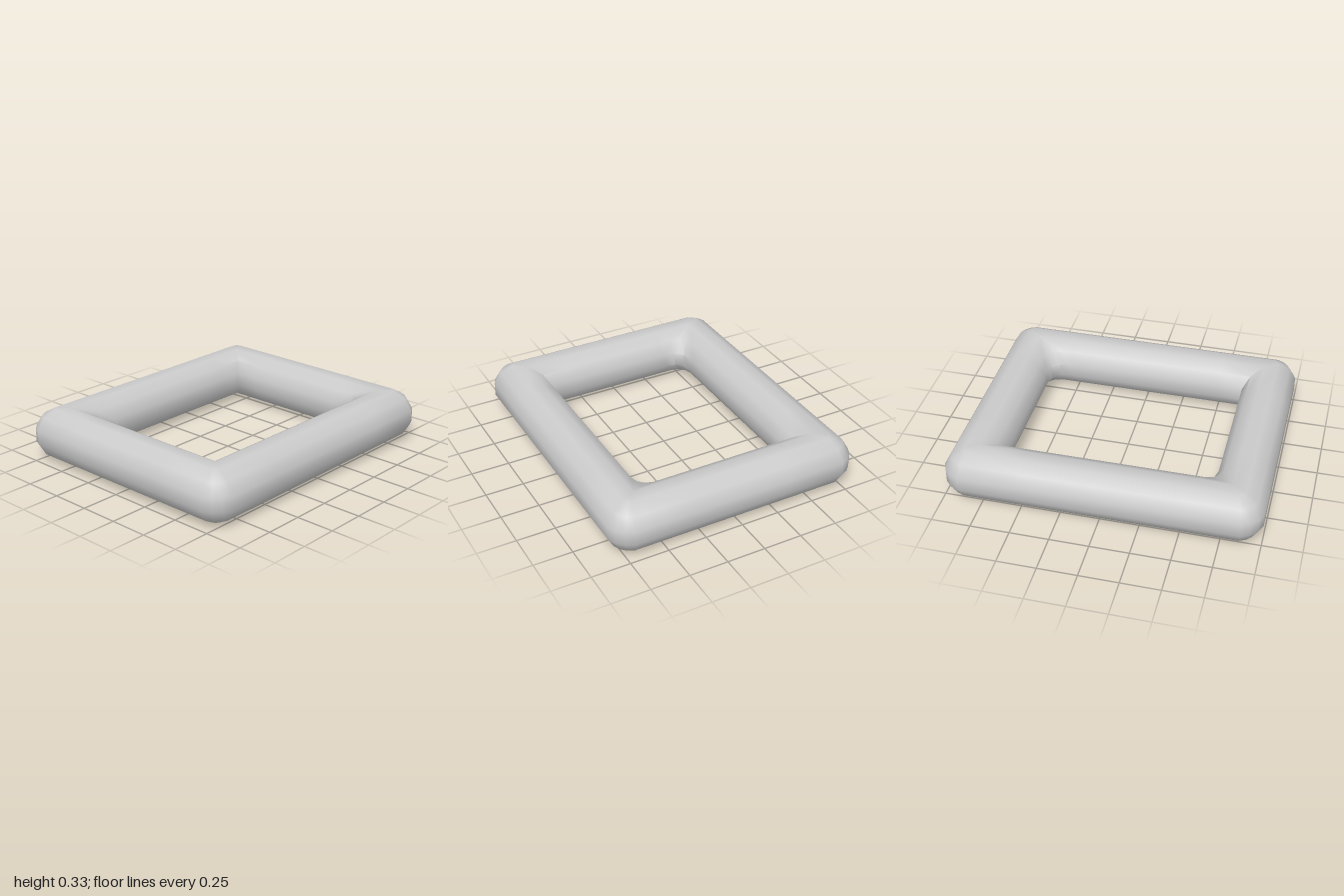
import * as THREE from 'three';
import { toCreasedNormals } from 'three/addons/utils/BufferGeometryUtils.js';

const SIDES = 12;            // sides of the bar's round section
const INNER = 1 / 6;         // section radius measured to the flats
const RADIUS = INNER / Math.cos(Math.PI / SIDES);
const HALF_X = 0.833, HALF_Z = 0.667; // centre line of the bars
const rad = THREE.MathUtils.degToRad;

// One closed plan outline of the frame, at a given offset from the centre line
function planLoop(offset, y, height) {
  const loop = [];
  const corners = [[1, 1], [-1, 1], [-1, -1], [1, -1]];
  for (const [sx, sz] of corners) {
    const hx = HALF_X + offset, hz = HALF_Z + offset;
    const filleted = sx === sz;
    // Outer corners are spherical; two inner corners are filleted, two are mitred
    let r, angles;
    if (offset > 0) {
      r = offset;
      angles = [15, 35, 55, 75];
    } else {
      r = filleted ? (height < 0.1 ? 0.12 : height < 0.15 ? 0.1 : 0) : 0;
      angles = [0, 30, 60, 90];
    }
    const spread = offset > 0 ? r / Math.cos(rad(15)) : r;
    const pts = angles.map(d => [
      hx - r + spread * Math.cos(rad(d)),
      hz - r + spread * Math.sin(rad(d))
    ]);
    // Extra points keep the long bars evenly shaded
    pts.unshift([hx, 0.34]);
    pts.push([0.5, hz]);
    if (sx !== sz) pts.reverse();
    for (const [x, z] of pts) loop.push(new THREE.Vector3(sx * x, y, sz * z));
  }
  return loop;
}

function frameGeometry() {
  const loops = [];
  for (let i = 0; i < SIDES; i++) {
    const a = ((i + 0.5) / SIDES) * Math.PI * 2;
    const h = RADIUS * Math.sin(a);
    loops.push(planLoop(RADIUS * Math.cos(a), INNER + h, Math.abs(h)));
  }
  const positions = [];
  const tri = (a, b, c) => {
    const area = b.clone().sub(a).cross(c.clone().sub(a)).length();
    if (area > 1e-8) for (const p of [a, b, c]) positions.push(p.x, p.y, p.z);
  };
  const n = loops[0].length;
  for (let i = 0; i < SIDES; i++) {
    const low = loops[i], high = loops[(i + 1) % SIDES];
    for (let j = 0; j < n; j++) {
      const k = (j + 1) % n;
      tri(low[j], high[j], high[k]);
      tri(low[j], high[k], low[k]);
    }
  }
  const geometry = new THREE.BufferGeometry();
  geometry.setAttribute('position', new THREE.Float32BufferAttribute(positions, 3));
  return toCreasedNormals(geometry, rad(50));
}

export function createModel() {
  const group = new THREE.Group();
  group.name = 'rectangularRing';
  const frame = new THREE.Mesh(
    frameGeometry(),
    new THREE.MeshStandardMaterial({ color: 0xcccccc })
  );
  frame.name = 'roundedFrame';
  group.add(frame);
  return group;
}
